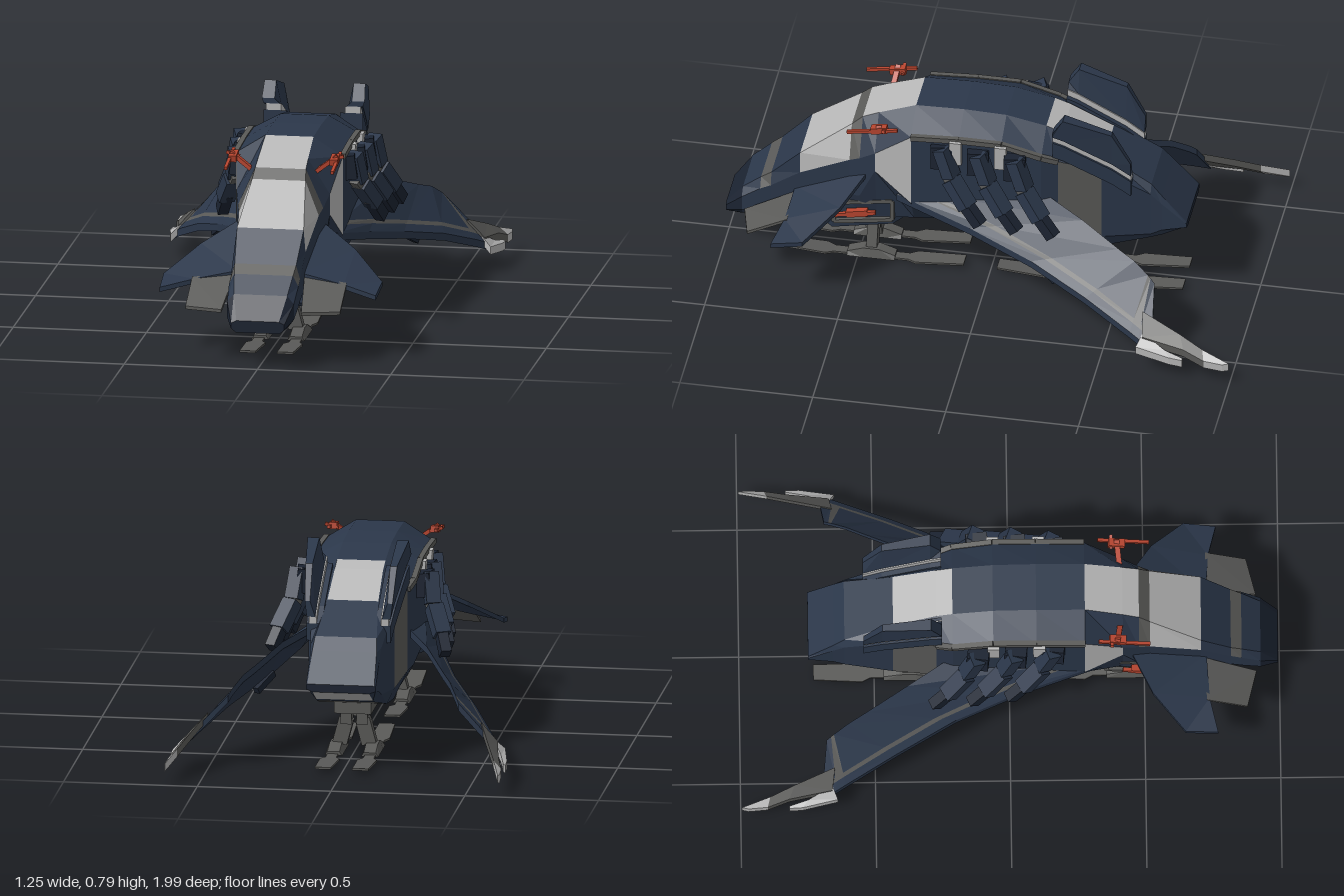
import * as THREE from 'three';

const NAVY = 0x2b374a, DARK = 0x1b2331, GREY = 0x5a5a58, LIGHT = 0xb8b8b8, RED = 0xb8452f;
const mats = {};
const mat = c => mats[c] ??= new THREE.MeshStandardMaterial({ color: c, flatShading: true, side: THREE.DoubleSide });

// Skins a row of closed cross-sections; colorOf(i, j) picks each strip's colour
function loft(name, rings, colorOf) {
  const tris = [], n = rings[0].length, last = rings.length - 1;
  const pick = typeof colorOf === 'function' ? colorOf : () => colorOf;
  for (let i = 0; i < last; i++) for (let j = 0; j < n; j++) {
    const k = (j + 1) % n, c = pick(i, j);
    const [a, b, d, e] = [rings[i][j], rings[i][k], rings[i + 1][k], rings[i + 1][j]];
    tris.push([c, a, b, d], [c, a, d, e]);
  }
  for (let j = 1; j < n - 1; j++) {
    tris.push([pick(-1, 0), rings[0][0], rings[0][j + 1], rings[0][j]]);
    tris.push([pick(last, 0), rings[last][0], rings[last][j], rings[last][j + 1]]);
  }
  // Signed volume tells whether the skin faces outward
  const v = p => new THREE.Vector3(...p);
  const volume = tris.reduce((s, [, a, b, c]) => s + v(a).dot(v(b).cross(v(c))), 0);
  const byColor = new Map();
  for (const [c, p, q, r] of tris) {
    if (!byColor.has(c)) byColor.set(c, []);
    byColor.get(c).push(...p, ...(volume < 0 ? [...r, ...q] : [...q, ...r]));
  }
  const group = new THREE.Group();
  group.name = name;
  for (const [c, pos] of byColor) {
    const g = new THREE.BufferGeometry();
    g.setAttribute('position', new THREE.Float32BufferAttribute(pos, 3));
    g.computeVertexNormals();
    const mesh = new THREE.Mesh(g, mat(c));
    mesh.name = name + 'Panel';
    group.add(mesh);
  }
  return group;
}

// Square bar from a to b
function beam(name, a, b, w, h, color) {
  const p = new THREE.Vector3(...a), q = new THREE.Vector3(...b);
  const m = new THREE.Mesh(new THREE.BoxGeometry(w, h, p.distanceTo(q)), mat(color));
  m.name = name;
  m.position.copy(p).lerp(q, 0.5);
  m.lookAt(q);
  return m;
}

const mix = (a, b, t) => a.map((v, i) => v + (b[i] - v) * t);
const down = (p, d) => [p[0], p[1] - d, p[2]];

// Hull stations: z, roof half-width, roof y, side half-width, shoulder y, sill y, keel y
const HULL = [
  [0.995, 0.08, 0.185, 0.10, 0.175, 0.155, 0.14],
  [0.93, 0.10, 0.27, 0.125, 0.24, 0.18, 0.15],
  [0.86, 0.11, 0.33, 0.13, 0.29, 0.21, 0.18],
  [0.82, 0.115, 0.36, 0.13, 0.31, 0.225, 0.19],
  [0.71, 0.125, 0.47, 0.132, 0.385, 0.26, 0.22],
  [0.52, 0.10, 0.61, 0.15, 0.48, 0.32, 0.23],
  [0.48, 0.095, 0.645, 0.16, 0.50, 0.33, 0.23],
  [0.42, 0.093, 0.67, 0.175, 0.54, 0.46, 0.22],
  [0.28, 0.09, 0.72, 0.20, 0.65, 0.35, 0.235],
  [0.10, 0.09, 0.725, 0.20, 0.66, 0.34, 0.25],
  [-0.06, 0.09, 0.72, 0.20, 0.66, 0.32, 0.22],
  [-0.21, 0.09, 0.69, 0.197, 0.62, 0.30, 0.19],
  [-0.27, 0.09, 0.67, 0.182, 0.60, 0.29, 0.18],
  [-0.43, 0.095, 0.59, 0.155, 0.56, 0.26, 0.20],
  [-0.61, 0.115, 0.495, 0.133, 0.46, 0.28, 0.25],
  [-0.65, 0.12, 0.45, 0.13, 0.42, 0.30, 0.265],
  [-0.745, 0.125, 0.345, 0.13, 0.34, 0.325, 0.315],
];
function hullRing([z, roofW, roofY, sideW, shoulderY, sillY, keelY]) {
  const keelW = Math.min(0.82 * sideW, 0.13);
  const half = [[roofW, roofY, z], [sideW, shoulderY, z], [sideW, sillY, z], [keelW, keelY, z]];
  return [...half, ...half.map(([x, y]) => [-x, y, z]).reverse()];
}
function hullColor(i, j) {
  const top = j === 7, bevel = j === 0 || j === 6, side = j === 1 || j === 5, belly = j === 3;
  if (i < 1) return DARK;
  if (i === 2 && (top || bevel)) return GREY;
  if (i === 4 && (top || bevel)) return LIGHT;      // windscreen
  if (i === 5 && (top || bevel)) return GREY;       // window frame
  if ((i === 6 || i === 7) && top) return LIGHT;    // roof window
  if (i === 7 && side) return LIGHT;                // side window
  if ((i === 11 || i === 12) && top) return LIGHT;  // rear window
  if (i === 12 && side) return GREY;
  if (i === 15 && belly) return LIGHT;              // exhaust panel
  if (i > 7 && i < 14 && belly) return GREY;
  return i === 16 ? DARK : NAVY;
}

function buildSide(s) {
  const side = new THREE.Group();
  side.name = s > 0 ? 'leftSide' : 'rightSide';
  const M = p => [p[0] * s, p[1], p[2]];
  const skin = (name, rings, c) => side.add(loft(name, rings.map(r => r.map(M)), c));
  const bar = (name, a, b, w, h, c) => side.add(beam(name, M(a), M(b), w, h, c));
  // Thin plate between a leading and a trailing line
  const plate = (name, spans, t, c, cuts = [0, 1]) =>
    skin(name, spans.map(([a, b]) => [...cuts.map(k => mix(a, b, k)), down(b, t), down(a, t)]), c);

  // Swept rear wing with an inset stripe, arched slightly along its span
  const root = [[0.18, 0.37, 0.34], [0.18, 0.44, -0.23]];
  const inner = [[0.26, 0.31, 0.05], [0.27, 0.41, -0.38]];
  const outer = [[0.35, 0.255, -0.20], [0.35, 0.355, -0.53]];
  const tip = [[0.60, 0.095, -0.70], [0.43, 0.275, -0.68]];
  const cut = t => outer.map((p, i) => down(mix(p, tip[i], t), -0.06 * t * (1 - t)));
  plate('rearWing', [root, inner, outer, cut(0.45), cut(0.82), cut(0.89), tip], 0.028,
    (i, j) => j === 1 || (i === 4 && j === 2) ? GREY : NAVY, [0, 0.16, 0.24, 1]);
  // Forked wing tip
  plate('wingTipLong', [[[0.575, 0.13, -0.66], [0.51, 0.20, -0.65]], [[0.60, 0.11, -0.82], [0.56, 0.15, -0.80]],
    [[0.622, 0.085, -0.90], [0.592, 0.115, -0.89]], [[0.626, 0.08, -0.97], [0.622, 0.085, -0.995]]], 0.03,
    i => i > 1 ? LIGHT : GREY);
  plate('wingTipShort', [[[0.60, 0.10, -0.64], [0.56, 0.14, -0.66]], [[0.625, 0.085, -0.77], [0.60, 0.10, -0.75]],
    [[0.626, 0.08, -0.82], [0.618, 0.085, -0.82]]], 0.03, LIGHT);

  // Nose wing and its front flap
  plate('noseWing', [[[0.12, 0.31, 0.73], [0.12, 0.46, 0.43]], [[0.28, 0.275, 0.74], [0.29, 0.36, 0.53]],
    [[0.405, 0.245, 0.77], [0.41, 0.27, 0.65]]], 0.018, NAVY);
  plate('noseFlap', [[[0.15, 0.205, 0.915], [0.13, 0.30, 0.72]], [[0.29, 0.205, 0.88], [0.29, 0.28, 0.73]]], 0.012, GREY);

  // Roof pod leaning outward on a pale collar, narrowing to the rear
  const pod = [[-0.25, 0.71, 0.73], [-0.29, 0.695, 0.79], [-0.47, 0.60, 0.735], [-0.54, 0.55, 0.61]];
  const slab = (x0, x1, lo, hi, z, lean0 = 0, lean1 = 0) =>
    [[x0, lo, z], [x1, lo, z], [x1 + lean1, hi, z], [x0 + lean0, hi, z]];
  const edge = z => 0.183 + 0.1 * (z + 0.28);
  skin('roofPod', pod.map(([z, lo, hi]) => slab(0.125, edge(z), lo, hi, z, 0.02, 0.007)), NAVY);
  skin('podCollar', pod.map(([z, lo]) => slab(0.12, edge(z) - 0.008, lo - 0.025, lo, z)), LIGHT);
  skin('podBase', pod.map(([z, lo]) => slab(0.10, edge(z), lo - 0.09, lo - 0.025, z)), NAVY);

  // Grey trim along the shoulder
  for (let i = 8; i < 12; i++) {
    const [a, b] = [hullRing(HULL[i])[1], hullRing(HULL[i + 1])[1]];
    bar('shoulderTrim', a, b, 0.02, 0.02, GREY);
  }

  // Three jointed gun arms, reaching further out toward the rear
  [[0.17, -0.025], [0.03, -0.01], [-0.11, 0]].forEach(([z, dx]) => {
    const link = (name, x0, y0, z0, x1, y1, z1, w, h, c) =>
      bar(name, [x0 + dx, y0, z + z0], [x1 + dx, y1, z + z1], w, h, c);
    link('armShoulder', 0.18, 0.58, 0, 0.255, 0.59, -0.01, 0.08, 0.09, DARK);
    link('armUpper', 0.245, 0.63, -0.01, 0.26, 0.52, -0.05, 0.055, 0.05, NAVY);
    link('armJoint', 0.25, 0.53, -0.03, 0.275, 0.48, -0.07, 0.04, 0.04, GREY);
    link('armLower', 0.265, 0.51, -0.05, 0.305, 0.42, -0.12, 0.06, 0.05, NAVY);
    link('armBarrel', 0.295, 0.44, -0.10, 0.325, 0.36, -0.17, 0.04, 0.045, DARK);
  });
  for (const z of [0.11, -0.06]) bar('armFin', [0.205, 0.56, z], [0.21, 0.66, z], 0.045, 0.025, LIGHT);
  bar('underwingBarrel', [0.33, 0.25, -0.22], [0.38, 0.20, -0.30], 0.025, 0.025, DARK);

  // Roof gun
  bar('roofGunArm', [0.12, 0.62, 0.41], [0.20, 0.68, 0.40], 0.02, 0.015, RED);
  bar('roofGunBarrel', [0.20, 0.675, 0.33], [0.20, 0.645, 0.52], 0.012, 0.012, RED);
  bar('roofGunBody', [0.19, 0.67, 0.37], [0.19, 0.66, 0.43], 0.03, 0.025, RED);
  bar('roofGunGrip', [0.17, 0.66, 0.38], [0.22, 0.675, 0.38], 0.012, 0.012, RED);

  // Belly gun with its frame
  bar('bellyGun', [0.16, 0.225, 0.61], [0.16, 0.26, 0.42], 0.014, 0.014, RED);
  bar('bellyGunBody', [0.155, 0.24, 0.53], [0.155, 0.255, 0.45], 0.025, 0.025, RED);
  for (const y of [0.19, 0.275]) bar('bellyFrame', [0.142, y, 0.58], [0.142, y + 0.035, 0.36], 0.015, 0.015, GREY);
  for (const z of [0.58, 0.36]) {
    const y = 0.19 + (0.58 - z) * 0.16;
    bar('bellyFrame', [0.142, y, z], [0.142, y + 0.085, z], 0.015, 0.015, GREY);
  }

  // Landing legs and long skids
  for (const z of [0.45, -0.375]) {
    bar('legStrut', [0.03, 0.22, z], [0.03, 0.11, z], 0.04, 0.055, GREY);
    bar('legShin', [0.03, 0.13, z], [0.055, 0.035, z], 0.04, 0.055, GREY);
    skin('foot', [-0.09, -0.03, 0.03, 0.09].map((d, i) =>
      slab(0.035, 0.10, 0.005, i % 3 ? 0.04 : 0.02, z + d, 0.01, -0.01)), GREY);
    const skid = [[-0.35, 0.03], [-0.17, 0.036], [-0.14, 0.02], [0.14, 0.02], [0.17, 0.036], [0.35, 0.03]];
    skin('skid', skid.map(([d, w]) => {
      const y = Math.max(0, Math.abs(d) - 0.08) * 0.06;
      return slab(0.07 - w, 0.07 + w, y, y + 0.008, z + d);
    }), GREY);
  }
  return side;
}

export function createModel() {
  const model = new THREE.Group();
  model.name = 'dropship';
  model.add(loft('hull', HULL.map(hullRing), hullColor));

  // Gun block under the cockpit
  const block = (z, w, lo, hi) => [[-w, lo, z], [w, lo, z], [w + 0.012, hi, z], [-w - 0.012, hi, z]];
  model.add(loft('bellyBlock', [block(0.62, 0.12, 0.17, 0.27), block(0.59, 0.128, 0.15, 0.30),
    block(0.36, 0.128, 0.195, 0.35), block(0.32, 0.11, 0.22, 0.34)], NAVY));
  // Rear leg mount
  model.add(beam('legMount', [0, 0.185, -0.27], [0, 0.185, -0.44], 0.14, 0.05, GREY));

  for (const s of [1, -1]) model.add(buildSide(s));
  return model;
}
